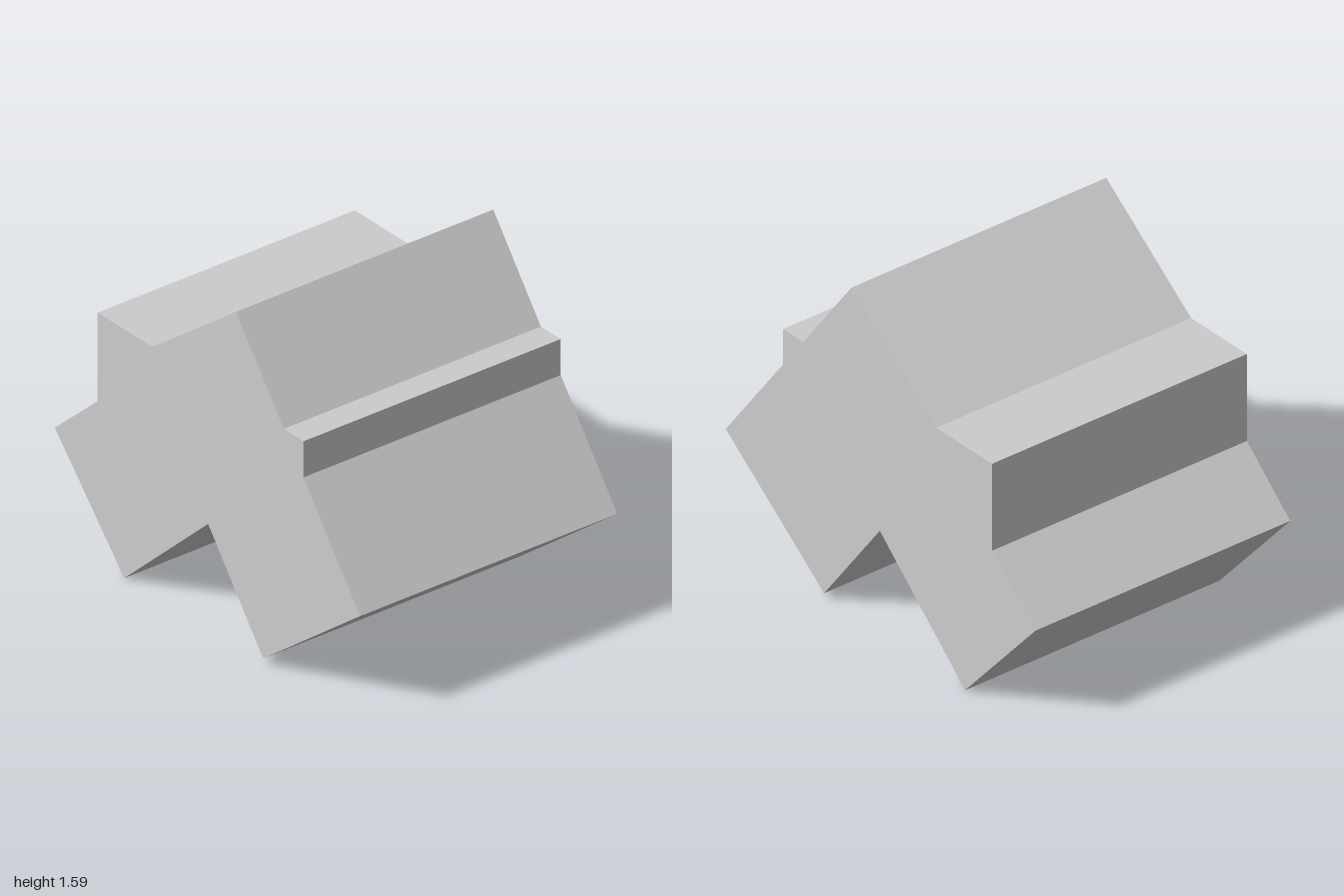
import * as THREE from 'three';

const WIDTH = 1.345;

export function createModel() {
  const model = new THREE.Group();
  const grey = new THREE.MeshStandardMaterial({ color: 0xcccccc });

  function add(name, geometry, parent = model) {
    const mesh = new THREE.Mesh(geometry, grey);
    mesh.name = name;
    parent.add(mesh);
    return mesh;
  }

  // Main body: side outline as (z, y), extruded across the width
  const outline = [
    [1, 0.515], [0.365, 0.03], [0.005, 0.503], [-0.545, 0], [-1, 0.505], [-0.72, 0.755],
    [-0.72, 1.173], [-0.36, 1.173], [0.188, 1.585], [0.5, 1.173], [0.63, 1.173], [0.63, 1.003],
  ].map(([z, y]) => new THREE.Vector2(z, y));
  const body = new THREE.ExtrudeGeometry(new THREE.Shape(outline), { depth: WIDTH, bevelEnabled: false });
  body.rotateY(-Math.PI / 2);
  body.translate(WIDTH / 2, 0, 0);
  add('body', body);

  // Round-bottomed knob hanging in the notch under the body
  const profile = [];
  for (let i = 0; i <= 12; i++) {
    const a = (i / 12) * Math.PI / 2;
    profile.push(new THREE.Vector2(0.15 * Math.sin(a), 0.33 - 0.15 * Math.cos(a)));
  }
  profile.push(new THREE.Vector2(0.15, 0.4), new THREE.Vector2(0.1, 0.48), new THREE.Vector2(0, 0.5));
  add('knob', new THREE.LatheGeometry(profile, 32)).position.z = -0.04;

  // Small tab on the front of the knob
  const tab = add('knobTab', new THREE.BoxGeometry(0.06, 0.04, 0.06));
  tab.position.set(0, 0.34, 0.085);

  // Bent twin-bar lever beside the knob
  const lever = new THREE.Group();
  lever.name = 'lever';
  model.add(lever);
  function bar(name, from, to) {
    const a = new THREE.Vector3(...from), b = new THREE.Vector3(...to);
    const mesh = add(name, new THREE.BoxGeometry(0.035, 0.035, a.distanceTo(b)), lever);
    mesh.position.copy(a).add(b).multiplyScalar(0.5);
    mesh.lookAt(b);
  }
  for (const z of [-0.07, -0.01]) {
    bar('leverInnerBar', [-0.1, 0.31, z], [-0.28, 0.26, z]);
    bar('leverOuterBar', [-0.28, 0.26, z], [-0.48, 0.41, z]);
  }

  return model;
}
